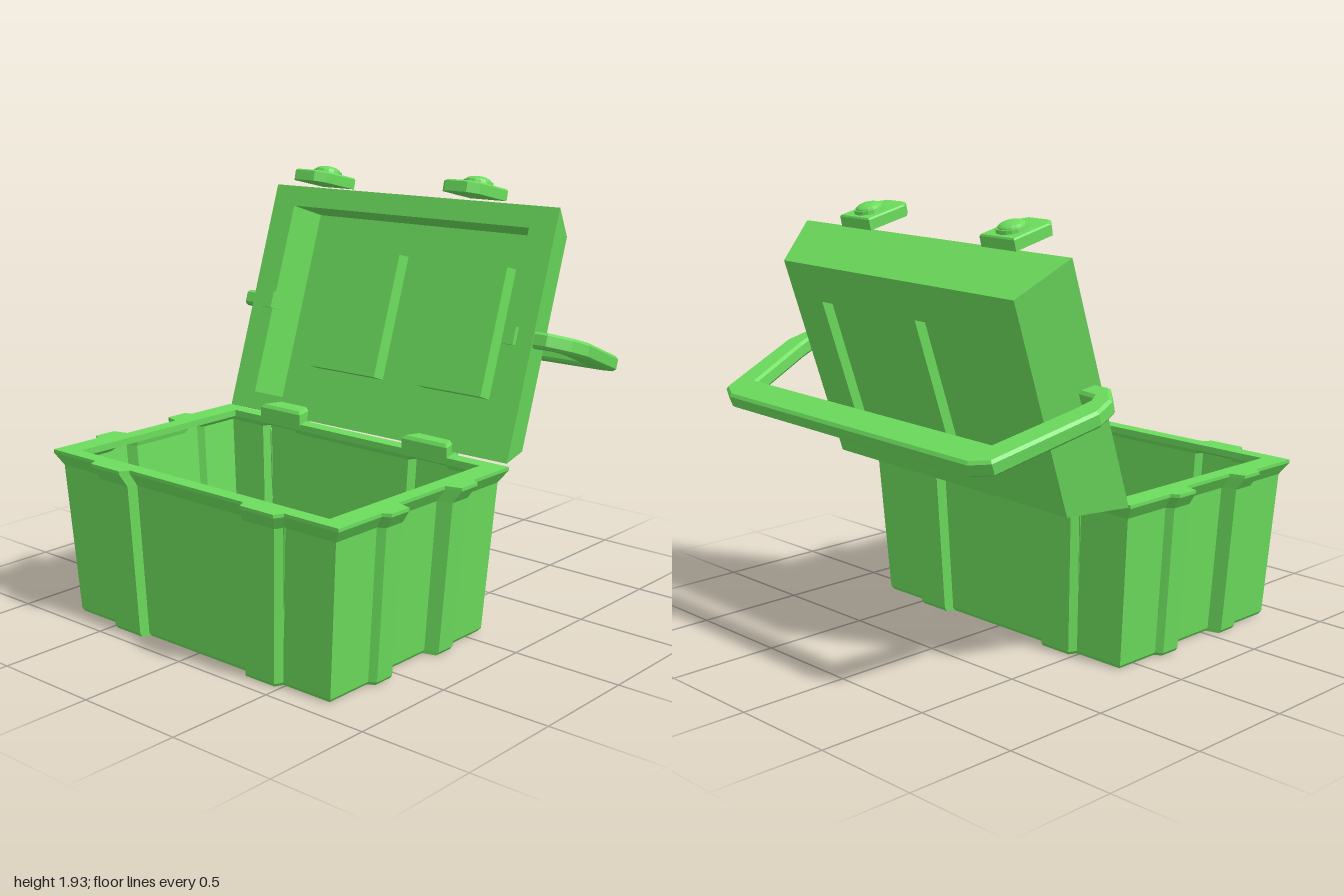
import * as THREE from 'three';

const green = new THREE.MeshStandardMaterial({ color: 0x6bdc5c, flatShading: true, side: THREE.DoubleSide });

function mesh(name, geometry) {
  const m = new THREE.Mesh(geometry, green);
  m.name = name;
  return m;
}

// Skin over cross-sections { y, loop: [[x, z], ...] }, loops counter-clockwise seen from +y
function loft(sections, capStart, capEnd) {
  const pos = [];
  const put = (s, i) => {
    const p = s.loop[i % s.loop.length];
    pos.push(p[0], s.y, p[1]);
  };
  for (let k = 0; k + 1 < sections.length; k++) {
    const a = sections[k], b = sections[k + 1];
    for (let i = 0; i < a.loop.length; i++) {
      put(a, i); put(a, i + 1); put(b, i + 1);
      put(a, i); put(b, i + 1); put(b, i);
    }
  }
  const cap = (s, up) => {
    const flat = s.loop.map(([x, z]) => new THREE.Vector2(x, -z));
    for (const [i, j, k] of THREE.ShapeUtils.triangulateShape(flat, [])) {
      for (const n of up ? [i, j, k] : [i, k, j]) put(s, n);
    }
  };
  if (capStart) cap(sections[0], false);
  if (capEnd) cap(sections[sections.length - 1], true);
  const g = new THREE.BufferGeometry();
  g.setAttribute('position', new THREE.Float32BufferAttribute(pos, 3));
  g.computeVertexNormals();
  return g;
}

const rect = (x0, x1, z0, z1) => [[x0, z1], [x1, z1], [x1, z0], [x0, z0]];

// Tub outline: one quarter with a front rib and a side rib, mirrored twice
function outline(hx, hz, dz, dx, mid, sx = 1, sz = 1) {
  const q = [
    [0.335, hz], [0.355, hz + dz], [0.535, hz + dz], [0.555, hz], [hx, hz],
    [hx, 0.295], [hx + dx, 0.275], [hx + dx, 0.17], [mid, 0.15],
  ];
  const r = [...q].reverse();
  return [
    ...q, ...r.map(([x, z]) => [x, -z]),
    ...q.map(([x, z]) => [-x, -z]), ...r.map(([x, z]) => [-x, z]),
  ].map(([x, z]) => [x * sx, z * sz + 0.3975]);
}

function createTub() {
  const outer = (sx, sz) => outline(0.835, 0.5475, 0.04, 0.035, 0.80, sx, sz);
  const inner = (sx, sz) => outline(0.755, 0.49, 0.035, 0.03, 0.735, sx, sz);
  const lip = outline(0.73, 0.48, 0, 0, 0.73);
  return mesh('tub', loft([
    { y: 0, loop: outer(0.88, 0.89) },
    { y: 0.015, loop: outer(0.893, 0.905) },
    { y: 0.68, loop: outer(0.955, 0.95) },
    { y: 0.735, loop: outer(1, 1) },
    { y: 0.75, loop: outer(1, 1) },
    { y: 0.75, loop: lip },
    { y: 0.72, loop: lip },
    { y: 0.70, loop: inner(1, 1) },
    { y: 0.03, loop: inner(0.93, 0.94) },
  ], true, true));
}

// Lid frame: y runs from hinge edge to free edge, z points out of the opening
function createLid() {
  const lid = new THREE.Group();
  lid.name = 'lid';
  const H = 1.108, D = -0.244;
  const panels = [[-0.51, -0.09], [0.165, 0.535]];
  const p0 = 0.26, p1 = 0.853;
  const add = (name, sections, a, b) => lid.add(mesh(name, loft(sections, a, b).rotateX(Math.PI / 2)));

  // Tapered sides, flat rim and the recess behind it
  const recess = rect(-0.70, 0.70, -1.01, -0.085);
  const back = [-0.735, 0.735, 0.065, H - 0.08];
  add('lidShell', [
    { y: D, loop: rect(back[0], back[1], -back[3], -back[2]) },
    { y: 0, loop: rect(-0.838, 0.838, -H, 0) },
    { y: 0, loop: recess },
    { y: -0.2, loop: recess },
  ], false, true);

  // Outer face with two pockets that bulge into the recess
  const box = (x0, x1, y0, y1) => [[x0, y0], [x1, y0], [x1, y1], [x0, y1]].map(p => new THREE.Vector2(...p));
  const face = new THREE.Shape(box(...back));
  for (const [x0, x1] of panels) {
    face.holes.push(new THREE.Path(box(-x1, -x0, p0, p1)));
    add('pocket', [
      { y: -0.165, loop: rect(x0 + 0.01, x1 - 0.01, -p1 + 0.01, -p0 - 0.01) },
      { y: D, loop: rect(x0, x1, -p1, -p0) },
    ], true, false);
    add('innerPanel', [
      { y: -0.2, loop: rect(x0, x1, -p1, -p0) },
      { y: -0.135, loop: rect(x0 + 0.003, x1 - 0.003, -p1 + 0.003, -p0 - 0.003) },
    ], false, true);
  }
  const outerFace = mesh('outerFace', new THREE.ShapeGeometry(face));
  outerFace.rotation.y = Math.PI;
  outerFace.position.z = D;
  lid.add(outerFace);

  // Carrying handle: a flat hoop with hooked ends
  const half = [
    [0.72, -0.085], [0.88, -0.095], [0.895, -0.13], [0.88, -0.2], [0.77, -0.54],
  ];
  const rim = [
    [0.78, -0.69], [0.87, -0.645], [1.0, -0.19], [0.98, -0.09], [0.90, -0.012], [0.72, -0.012],
  ];
  const right = [...rim, ...half];
  const left = [...right].reverse().map(([x, z]) => [-x, z]);
  const hoop = new THREE.Shape([...right, ...left].map(p => new THREE.Vector2(...p)));
  const handle = new THREE.ExtrudeGeometry(hoop, {
    depth: 0.046, bevelEnabled: true, bevelSize: 0.012, bevelOffset: -0.012, bevelThickness: 0.012, bevelSegments: 1,
  });
  handle.rotateX(Math.PI / 2).translate(0, 0.563, 0);
  lid.add(mesh('handle', handle));
  for (const s of [-1, 1]) {
    const foot = mesh('handleFoot', new THREE.BoxGeometry(0.06, 0.08, 0.08));
    foot.position.set(s * 0.725, 0.54, -0.02);
    lid.add(foot);
  }

  // Leaning open, slightly skewed
  lid.rotation.set(-0.326, -0.021, 0.014, 'YZX');
  lid.position.set(0, 0.757, -0.147);
  return lid;
}

// Latch: plate with clipped front corners, a collar and a domed button
function createLatch(x, y, z) {
  const latch = new THREE.Group();
  latch.name = 'latch';
  const plate = (hw, b, f, c) => [[-hw + c, f], [hw - c, f], [hw, f - c], [hw, b], [-hw, b], [-hw, f - c]];
  latch.add(mesh('latchPlate', loft([
    { y: -0.025, loop: plate(0.1, -0.12, 0.125, 0.04) },
    { y: 0.02, loop: plate(0.1, -0.12, 0.125, 0.04) },
    { y: 0.027, loop: plate(0.094, -0.115, 0.115, 0.04) },
  ], true, true)));
  const collar = mesh('buttonCollar', new THREE.CylinderGeometry(0.066, 0.07, 0.02, 16));
  collar.position.set(0, 0.033, -0.03);
  const button = mesh('button', new THREE.SphereGeometry(0.06, 16, 5, 0, Math.PI * 2, 0, Math.PI / 2));
  button.scale.y = 0.4;
  button.position.set(0, 0.041, -0.03);
  latch.add(collar, button);
  latch.position.set(x, y, z);
  latch.rotation.set(-0.24, -0.021, 0.014, 'YZX');
  return latch;
}

export function createModel() {
  const model = new THREE.Group();
  model.name = 'openCase';
  model.add(createTub(), createLid());
  model.add(createLatch(-0.48, 1.853, -0.44), createLatch(0.415, 1.868, -0.425));

  // Hinge tabs on the back rim
  const tab = (hw, b, f) => [[-hw, f], [hw, f], [hw - 0.03, b], [-hw + 0.03, b]];
  for (const s of [-1, 1]) {
    const hinge = mesh('hingeTab', loft([
      { y: 0.74, loop: tab(0.125, -0.185, -0.08) },
      { y: 0.795, loop: tab(0.125, -0.185, -0.08) },
      { y: 0.81, loop: tab(0.11, -0.175, -0.09) },
    ], true, true));
    hinge.position.x = s * 0.43;
    model.add(hinge);
  }
  return model;
}
